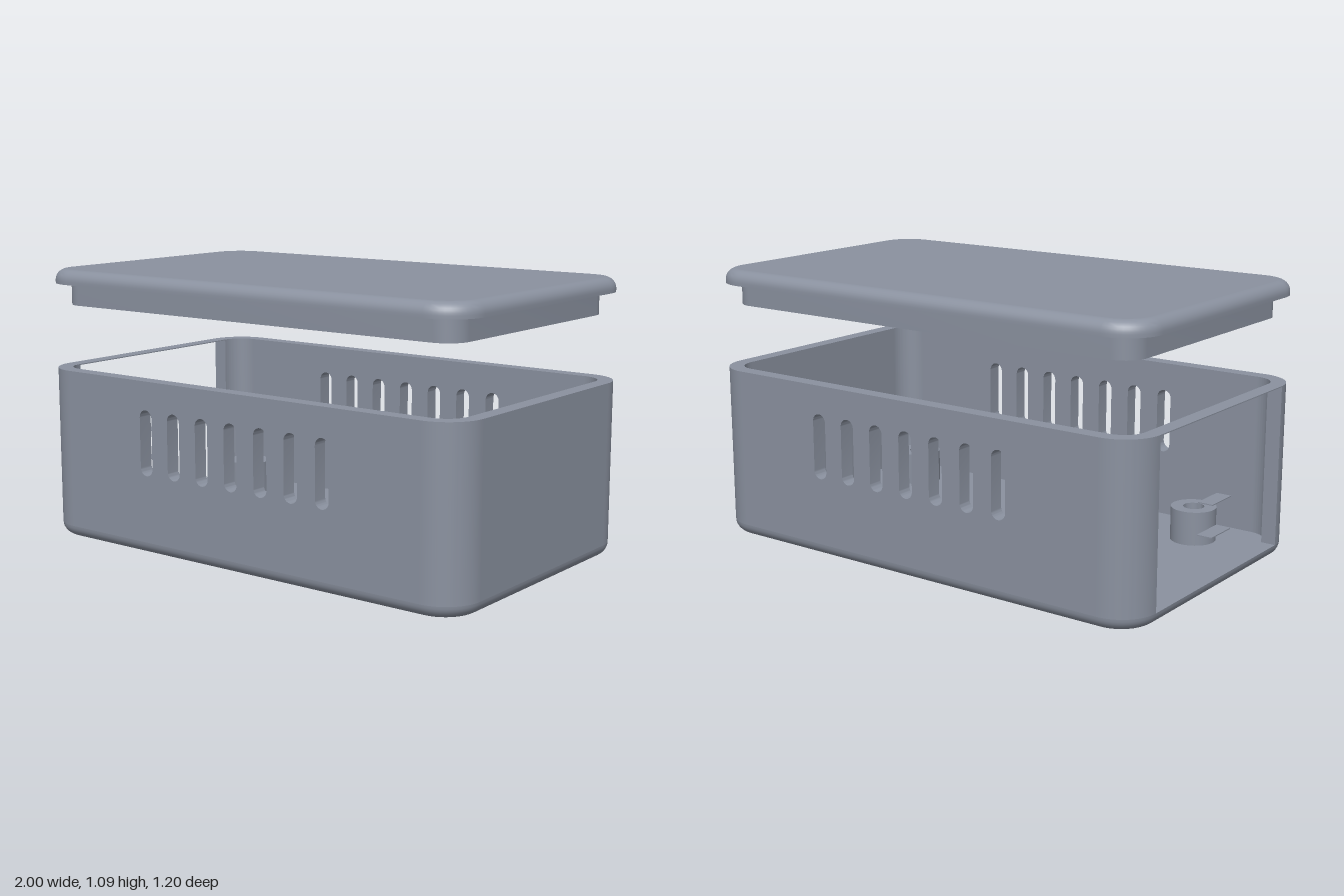
import * as THREE from 'three';
import { toCreasedNormals } from 'three/addons/utils/BufferGeometryUtils.js';

const W = 1, D = 0.6, R = 0.15, T = 0.06;      // half width, half depth, corner radius, wall
const H = 0.69, FILLET = 0.05, SEG = 12;

// Rounded rectangle in plan, counterclockwise seen from above (second axis is -z)
function loop(w, d, r) {
  const pts = [];
  for (let q = 0; q < 4; q++) {
    const sx = q === 0 || q === 3 ? 1 : -1, sy = q < 2 ? 1 : -1;
    for (let k = 0; k <= SEG; k++) {
      const a = (q + k / SEG) * Math.PI / 2;
      pts.push(new THREE.Vector2(sx * (w - r) + r * Math.cos(a), sy * (d - r) + r * Math.sin(a)));
    }
  }
  return pts;
}

// Outer skin through rows of [inset, y], listed from bottom to top
function skin(w, d, r, rows) {
  const pos = [], idx = [];
  let n = 0;
  rows.forEach(([inset, y]) => {
    const pts = loop(w - inset, d - inset, r - inset);
    n = pts.length;
    pts.forEach(p => pos.push(p.x, y, -p.y));
  });
  for (let j = 0; j < rows.length - 1; j++) {
    for (let i = 0; i < n; i++) {
      const a = j * n + i, b = j * n + (i + 1) % n;
      idx.push(a, b, a + n, b, b + n, a + n);
    }
  }
  const geo = new THREE.BufferGeometry();
  geo.setAttribute('position', new THREE.Float32BufferAttribute(pos, 3));
  geo.setIndex(idx);
  return toCreasedNormals(geo, 0.5);
}

// Flat plan shape at height y, facing up (1) or down (-1)
function flat(shape, y, facing) {
  return new THREE.ShapeGeometry(shape).rotateX(-facing * Math.PI / 2).translate(0, y, 0);
}

function ringShape(w, d, r, t) {
  const s = new THREE.Shape(loop(w, d, r));
  s.holes.push(new THREE.Path(loop(w - t, d - t, r - t)));
  return s;
}

export function createModel() {
  const grey = new THREE.MeshStandardMaterial({ color: 0x8a919f });
  grey.name = 'slate grey';
  const greyThin = grey;
  const model = new THREE.Group();
  model.name = 'ventedEnclosure';
  const box = new THREE.Group(), lid = new THREE.Group();
  box.name = 'base';
  lid.name = 'lid';
  model.add(box, lid);
  const add = (parent, name, geo) => {
    const mesh = new THREE.Mesh(geo, greyThin);
    mesh.name = name;
    parent.add(mesh);
    return mesh;
  };

  // Base floor with rounded lower edge
  const arc = Array.from({ length: 9 }, (_, i) => i / 8 * Math.PI / 2);
  add(box, 'lowerEdge', skin(W, D, R, arc.map(a => [FILLET * (1 - Math.sin(a)), FILLET * (1 - Math.cos(a))])));
  add(box, 'underside', flat(new THREE.Shape(loop(W - FILLET, D - FILLET, R - FILLET)), 0, -1));
  add(box, 'floor', flat(new THREE.Shape(loop(W, D, R)), FILLET, 1));

  // Long walls with seven vent slots each
  const wall = new THREE.Shape();
  wall.moveTo(-W + R, FILLET).lineTo(W - R, FILLET).lineTo(W - R, H).lineTo(-W + R, H).closePath();
  for (let i = -3; i <= 3; i++) {
    const x = i * 0.143, r = 0.031, slot = new THREE.Path();
    slot.absarc(x, 0.577 - r, r, 0, Math.PI, false);
    slot.absarc(x, 0.317 + r, r, Math.PI, Math.PI * 2, false);
    slot.closePath();
    wall.holes.push(slot);
  }
  for (const [name, z] of [['frontWall', D - T], ['backWall', -D]]) {
    const geo = new THREE.ExtrudeGeometry(wall, { depth: T, bevelEnabled: false, curveSegments: 12 });
    add(box, name, toCreasedNormals(geo.translate(0, 0, z), 0.5));
  }

  // Rounded corner walls
  for (let q = 0; q < 4; q++) {
    const sx = q === 0 || q === 3 ? 1 : -1, sy = q < 2 ? 1 : -1;
    const a0 = q * Math.PI / 2, a1 = a0 + Math.PI / 2;
    const corner = new THREE.Shape();
    corner.absarc(sx * (W - R), sy * (D - R), R, a0, a1, false);
    corner.absarc(sx * (W - R), sy * (D - R), R - T, a1, a0, true);
    corner.closePath();
    const geo = new THREE.ExtrudeGeometry(corner, { depth: H - FILLET, bevelEnabled: false, curveSegments: SEG });
    add(box, 'cornerWall', toCreasedNormals(geo.rotateX(-Math.PI / 2).translate(0, FILLET, 0), 0.5));
  }

  // Closed end, and open end bridged by a thin rim
  add(box, 'closedEndWall', new THREE.BoxGeometry(T, H - FILLET, 2 * (D - R)).translate(W - T / 2, (H + FILLET) / 2, 0));
  add(box, 'openEndRim', new THREE.BoxGeometry(T, 0.004, 2 * (D - R)).translate(-W + T / 2, H - 0.002, 0));

  // Thin ledges of the port in the open end
  for (const y of [0.22, 0.345]) {
    add(box, 'portLedge', new THREE.BoxGeometry(T, 0.004, 0.14).translate(-W + T / 2, y, 0));
  }

  // Four hollow screw posts
  const profile = [[0.09, FILLET], [0.09, 0.185], [0.042, 0.185], [0.042, FILLET]].map(p => new THREE.Vector2(...p));
  for (const x of [-0.7, 0.7]) {
    for (const z of [-0.33, 0.33]) {
      const post = add(box, 'screwPost', toCreasedNormals(new THREE.LatheGeometry(profile, 32), 0.5));
      post.position.set(x, 0, z);
    }
  }

  // Lid plate with rounded upper edge
  const y0 = 1.033, y1 = 1.09, f = 0.045;
  const rows = [[0, y0], ...arc.map(a => [f * (1 - Math.cos(a)), y1 - f + f * Math.sin(a)])];
  add(lid, 'lidEdge', skin(W, D, R, rows));
  add(lid, 'lidTop', flat(new THREE.Shape(loop(W - f, D - f, R - f)), y1, 1));
  add(lid, 'lidUnderside', flat(new THREE.Shape(loop(W, D, R)), y0, -1));

  // Locating lip below the lid
  const lw = 0.938, ld = 0.538, lr = 0.09, ly = 0.945;
  add(lid, 'lipSkin', skin(lw, ld, lr, [[0, ly], [0, y0]]));
  add(lid, 'lipBottom', flat(ringShape(lw, ld, lr, 0.05), ly, -1));

  return model;
}
